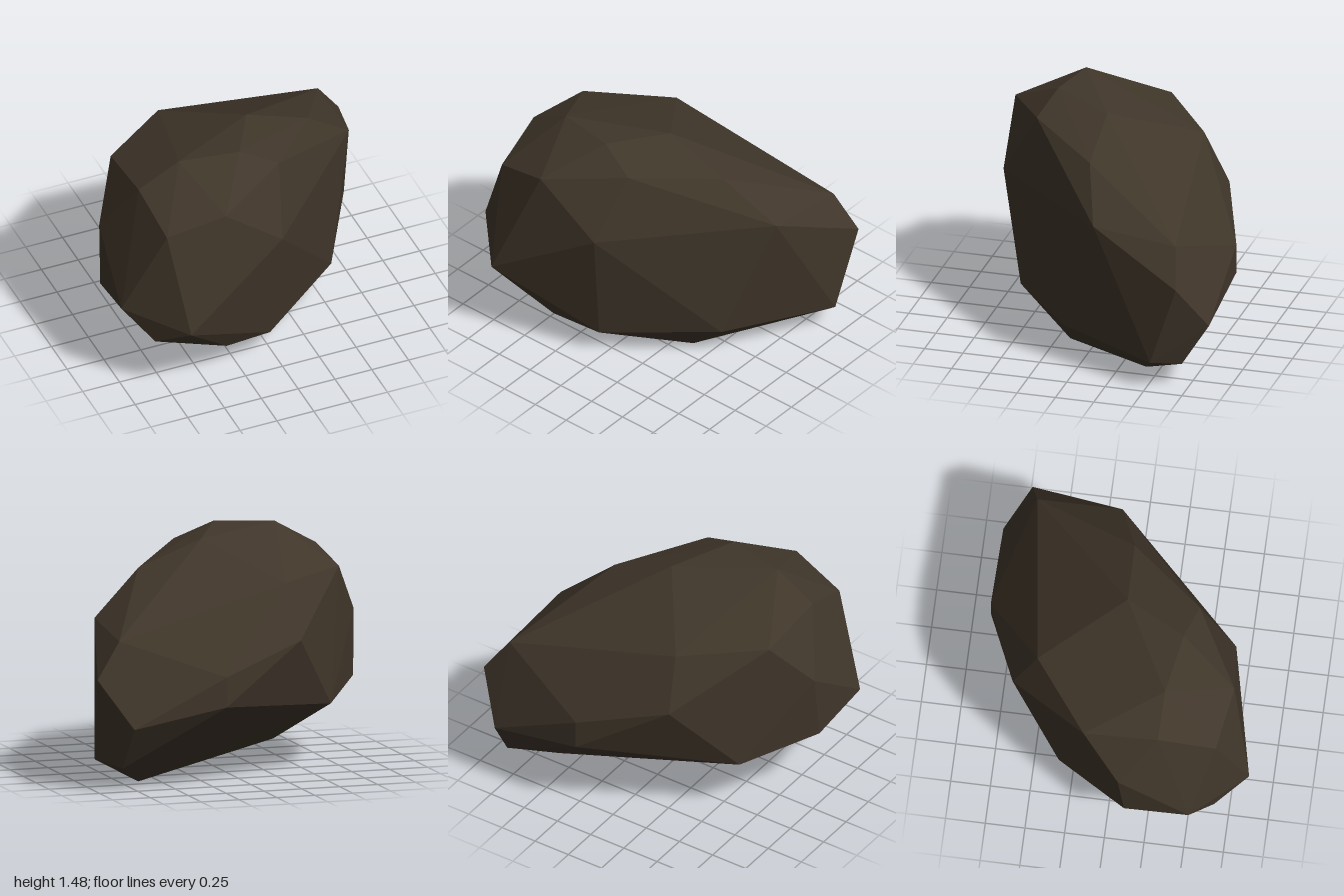
import * as THREE from 'three';
import { ConvexGeometry } from 'three/addons/geometries/ConvexGeometry.js';

export function createModel() {
  const group = new THREE.Group();
  group.name = 'rock';

  const stone = new THREE.MeshStandardMaterial({ color: 0x40362a });
  stone.name = 'dark brown stone';

  // Corners of the faceted boulder, grouped by region
  const corners = [
    // crown
    [-0.14, 1.48, 0.39], [-0.52, 1.47, 0.32], [0.07, 1.44, 0.01], [0.1, 1.37, 0.46],
    [-0.79, 1.32, 0.31], [-0.38, 1.29, 0.74], [0.49, 1.28, 0], [-0.78, 1.25, -0.16],
    [-0.31, 1.22, -0.51], [-0.75, 1.18, 0.67],
    // front face and right end
    [0.02, 0.96, 0.7], [-0.67, 0.53, 0.87], [-1, 0.6, 0.53], [-0.96, 0.93, 0.08],
    [-0.97, 0.5, 0.12], [-0.83, 0.39, 0.67],
    // left end
    [0.82, 1, -0.12], [0.84, 0.94, -0.66], [1, 0.71, -0.71], [0.96, 0.18, -0.53],
    [0.83, 0.14, -0.7],
    // back
    [0.81, 0.41, -0.87], [0.2, 0.71, -0.87], [0.2, 0.52, -0.87], [-0.36, 0.88, -0.66],
    [-0.67, 0.41, -0.33],
    // base
    [0.59, 0.2, 0.14], [-0.02, 0.17, 0.6], [-0.34, 0.2, 0.66], [-0.36, 0.17, -0.12],
    [0.63, 0, -0.41], [0.38, 0.02, 0.16],
  ].map((p) => new THREE.Vector3(...p));

  // Flat facets stretched over the corners
  const boulder = new THREE.Mesh(new ConvexGeometry(corners), stone);
  boulder.name = 'boulder';
  group.add(boulder);
  return group;
}
